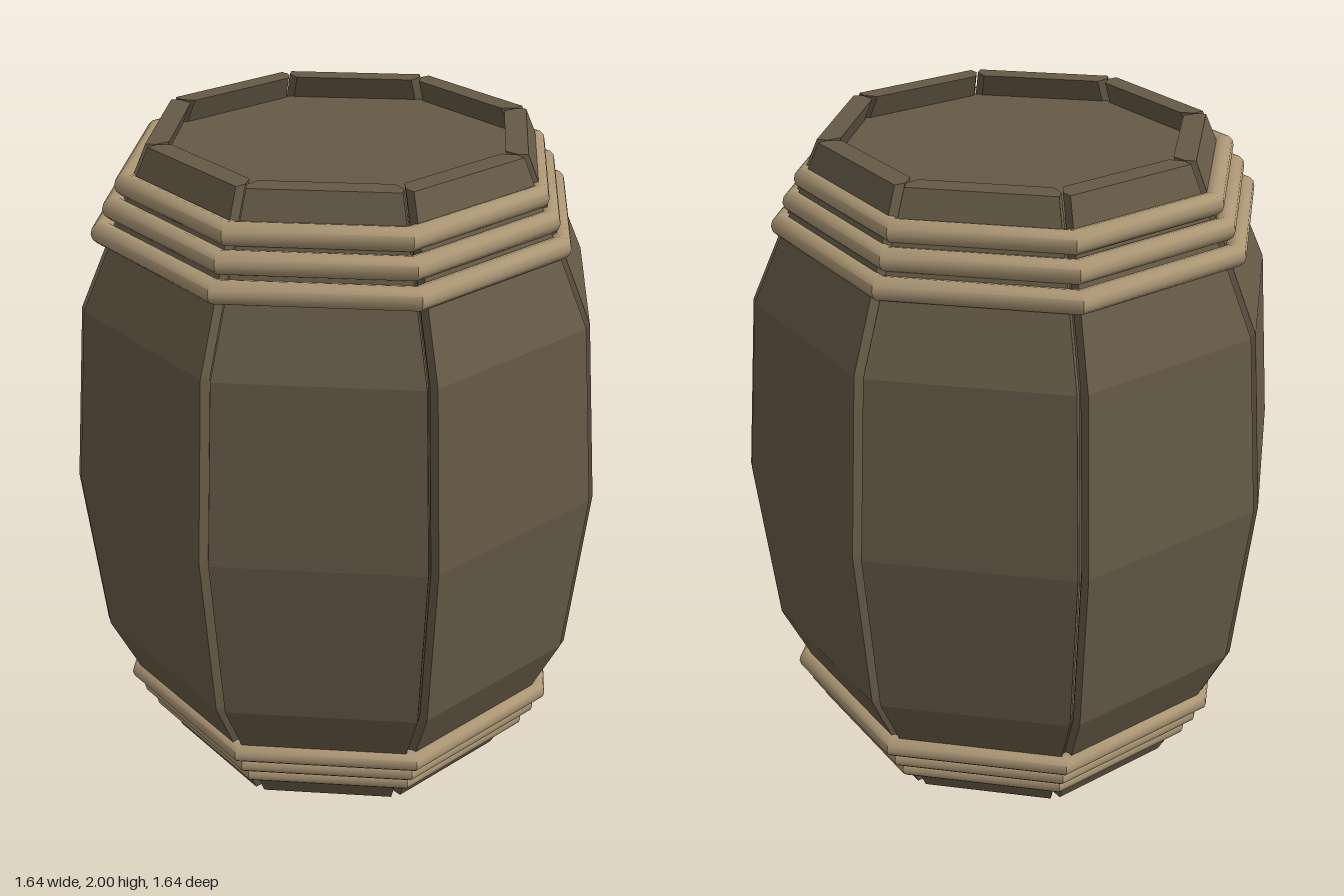
import * as THREE from 'three';
import { toCreasedNormals } from 'three/addons/utils/BufferGeometryUtils.js';

const SIDES = 8;
const STEP = (Math.PI * 2) / SIDES;
// barrel profile: [height, corner radius]
const PROFILE = [[0, 0.565], [0.46, 0.775], [1, 0.826], [1.54, 0.775], [2, 0.565]];

// One stave: a six-sided cross-section with V-grooved sides, swept up the profile
function staveGeometry() {
  // [corner index, depth below the outer face, inset from the corner]
  const section = [[0, 0, 0.016], [1, 0, 0.016], [1, 0.032, 0.002], [1, 0.068, 0.014], [0, 0.068, 0.014], [0, 0.032, 0.002]];
  const n = section.length;
  const positions = [];
  const index = [];
  for (const [y, radius] of PROFILE) {
    for (const [corner, depth, inset] of section) {
      const at = (k) => new THREE.Vector3(Math.sin(k * STEP), 0, Math.cos(k * STEP)).multiplyScalar(radius - depth);
      const here = at(corner);
      const along = at(1 - corner).sub(here).normalize();
      here.addScaledVector(along, inset);
      positions.push(here.x, y, here.z);
    }
  }
  for (let l = 0; l < PROFILE.length - 1; l++) {
    for (let i = 0; i < n; i++) {
      const a = l * n + i, b = l * n + ((i + 1) % n);
      index.push(a, b, b + n, a, b + n, a + n);
    }
  }
  // end caps
  const top = (PROFILE.length - 1) * n;
  for (let i = 1; i < n - 1; i++) {
    index.push(top, top + i, top + i + 1, 0, i + 1, i);
  }
  const geometry = new THREE.BufferGeometry();
  geometry.setAttribute('position', new THREE.Float32BufferAttribute(positions, 3));
  geometry.setIndex(index);
  geometry.computeVertexNormals();
  return geometry;
}

export function createModel() {
  const barrel = new THREE.Group();
  barrel.name = 'barrel';
  const wood = new THREE.MeshStandardMaterial({ color: 0x665a47, flatShading: true });
  const rope = new THREE.MeshStandardMaterial({ color: 0xab9674 });

  const add = (name, geometry, material, x = 0, y = 0) => {
    const mesh = new THREE.Mesh(geometry, material);
    mesh.name = name;
    mesh.position.set(x, y, 0);
    barrel.add(mesh);
    return mesh;
  };

  // staves
  const stave = staveGeometry();
  for (let i = 0; i < SIDES; i++) {
    add(`stave${i + 1}`, stave, wood).rotation.y = i * STEP;
  }

  // recessed end boards
  const board = new THREE.CylinderGeometry(0.535, 0.535, 0.04, SIDES);
  add('lid', board, wood, 0, 1.91);
  add('bottom', board, wood, 0, 0.09);

  // three mitred hoops at each end, slightly off-centre: [height, x offset, corner radius]
  const hoops = [
    [1.895, -0.012, 0.61], [1.83, -0.013, 0.647], [1.762, -0.013, 0.684],
    [0.245, 0.008, 0.684], [0.178, 0.008, 0.647], [0.113, 0.008, 0.61],
  ];
  hoops.forEach(([y, x, radius], i) => {
    const ring = new THREE.TorusGeometry(radius, 0.033, 12, SIDES).rotateX(Math.PI / 2);
    add(`hoop${i + 1}`, toCreasedNormals(ring, 0.65), rope, x, y);
  });

  return barrel;
}
